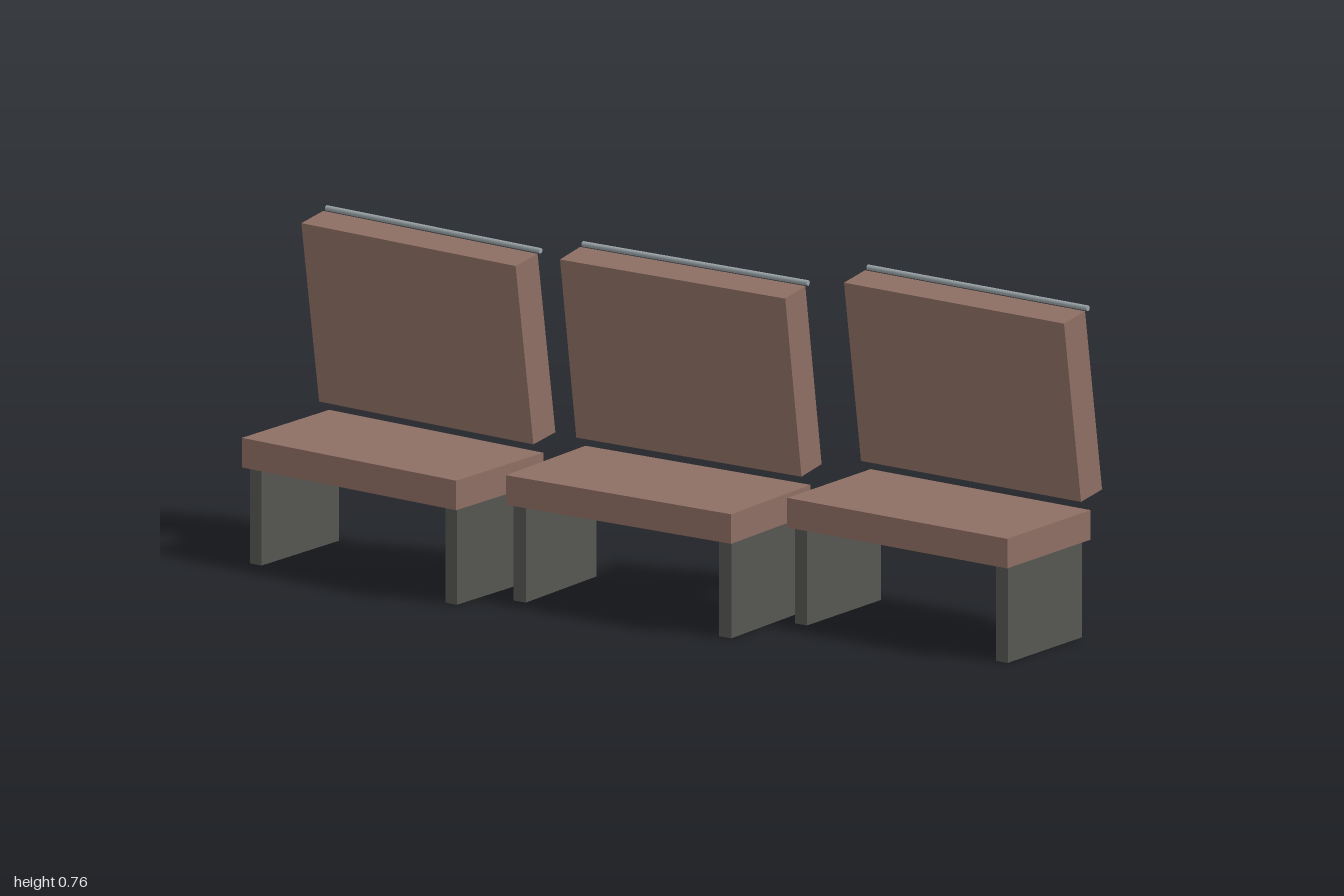
import * as THREE from 'three';

const SEAT_WIDTH = 0.607;
const brown = new THREE.MeshStandardMaterial({ color: 0x8d6e63 });
const darkGrey = new THREE.MeshStandardMaterial({ color: 0x555551 });
const metal = new THREE.MeshStandardMaterial({ color: 0x9aa4a8 });

function addBox(parent, name, material, size, position) {
  const mesh = new THREE.Mesh(new THREE.BoxGeometry(...size), material);
  mesh.name = name;
  mesh.position.set(...position);
  parent.add(mesh);
  return mesh;
}

function createBench() {
  const bench = new THREE.Group();

  // Seat slab
  addBox(bench, 'seat', brown, [SEAT_WIDTH, 0.068, 0.313], [0, 0.256, 0]);

  // Panel legs, one near each end
  for (const side of [-1, 1]) {
    addBox(bench, side > 0 ? 'leftLeg' : 'rightLeg', darkGrey,
      [0.033, 0.222, 0.278], [side * 0.277, 0.111, 0.002]);
  }

  // Tilted backrest, floating just above the seat
  const back = addBox(bench, 'backrest', brown, [SEAT_WIDTH, 0.428, 0.08], [0, 0.534, -0.128]);
  back.rotation.x = 0.15;

  // Thin rail along the top rear edge of the backrest
  const rail = new THREE.Mesh(new THREE.CylinderGeometry(0.0065, 0.0065, SEAT_WIDTH, 8), metal);
  rail.name = 'topRail';
  rail.rotation.z = Math.PI / 2;
  rail.position.set(0, 0.756, -0.147);
  bench.add(rail);

  return bench;
}

export function createModel() {
  const model = new THREE.Group();
  model.name = 'benchRow';

  // Three benches, each turned by a slightly different angle: [name, x, z, degrees]
  const placements = [
    ['rightBench', -0.664, -0.014, 17.6],
    ['middleBench', -0.004, 0.062, 13.7],
    ['leftBench', 0.654, 0.038, 15.6],
  ];
  for (const [name, x, z, degrees] of placements) {
    const bench = createBench();
    bench.name = name;
    bench.position.set(x, 0, z);
    bench.rotation.y = -THREE.MathUtils.degToRad(degrees);
    model.add(bench);
  }
  return model;
}
